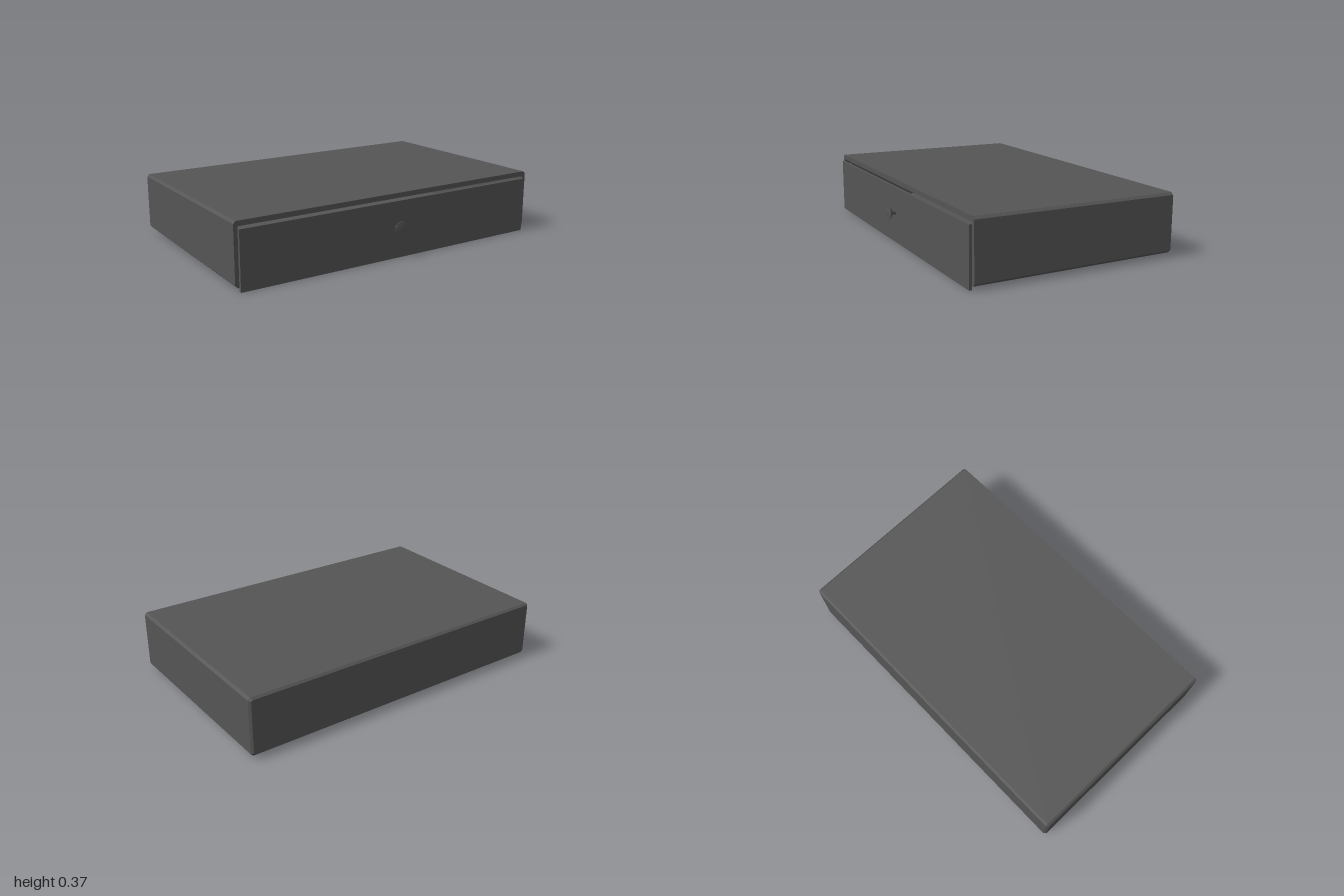
import * as THREE from 'three';
import { toCreasedNormals } from 'three/addons/utils/BufferGeometryUtils.js';

const material = new THREE.MeshStandardMaterial({ color: 0x555555 });

function part(name, geometry, x = 0, y = 0, z = 0) {
  const mesh = new THREE.Mesh(geometry, material);
  mesh.name = name;
  mesh.position.set(x, y, z);
  return mesh;
}

function boxPart(name, x0, x1, y0, y1, z0, z1) {
  return part(name, new THREE.BoxGeometry(x1 - x0, y1 - y0, z1 - z0),
    (x0 + x1) / 2, (y0 + y1) / 2, (z0 + z1) / 2);
}

// Rectangle with cut corners, counter-clockwise seen from the front
function ring(w, y0, y1, c, z) {
  return [
    [w - c, y0], [w, y0 + c], [w, y1 - c], [w - c, y1],
    [-w + c, y1], [-w, y1 - c], [-w, y0 + c], [-w + c, y0],
  ].map(([x, y]) => [x, y, z]);
}

// Skin a series of rings and close both ends
function skin(rings) {
  const n = rings[0].length;
  const index = [];
  for (let r = 0; r < rings.length - 1; r++) {
    for (let i = 0; i < n; i++) {
      const j = (i + 1) % n, a = r * n, b = a + n;
      index.push(a + i, b + i, b + j, a + i, b + j, a + j);
    }
  }
  const last = (rings.length - 1) * n;
  for (let i = 1; i < n - 1; i++) {
    index.push(0, i, i + 1);
    index.push(last, last + i + 1, last + i);
  }
  const geometry = new THREE.BufferGeometry();
  geometry.setAttribute('position', new THREE.Float32BufferAttribute(rings.flat(2), 3));
  geometry.setIndex(index);
  return toCreasedNormals(geometry, 0.3);
}

export function createModel() {
  const model = new THREE.Group();
  model.name = 'drawerUnit';

  // Hollow casing, open in front, slightly narrower at the bevelled back
  model.add(part('casing', skin([
    ring(0.965, 0.045, 0.345, 0.004, -0.615),
    ring(0.975, 0.045, 0.345, 0.004, 0.583),
    ring(0.998, 0.021, 0.374, 0.014, 0.583),
    ring(0.99, 0.026, 0.368, 0.014, -0.633),
    ring(0.978, 0.038, 0.356, 0.008, -0.645),
  ])));

  // Drawer: open tray behind a taller front panel
  const drawer = new THREE.Group();
  drawer.name = 'drawer';
  drawer.add(boxPart('drawerFront', -0.975, 0.975, 0, 0.333, 0.584, 0.6));
  drawer.add(boxPart('drawerFloor', -0.95, 0.95, 0.05, 0.065, -0.6, 0.584));
  drawer.add(boxPart('drawerBack', -0.95, 0.95, 0.065, 0.32, -0.6, -0.58));
  for (const s of [-1, 1]) {
    drawer.add(boxPart(s > 0 ? 'drawerLeftSide' : 'drawerRightSide',
      s * 0.94 - 0.01, s * 0.94 + 0.01, 0.065, 0.32, -0.58, 0.584));
  }

  // Flared round knob
  const profile = [[0.014, 0], [0.013, 0.018], [0.018, 0.022], [0.04, 0.036],
    [0.043, 0.04], [0.042, 0.044], [0, 0.046]].map(([r, h]) => new THREE.Vector2(r, h));
  const knob = part('knob', new THREE.LatheGeometry(profile, 32), 0, 0.183, 0.599);
  knob.rotation.x = Math.PI / 2;
  drawer.add(knob);
  model.add(drawer);

  return model;
}
